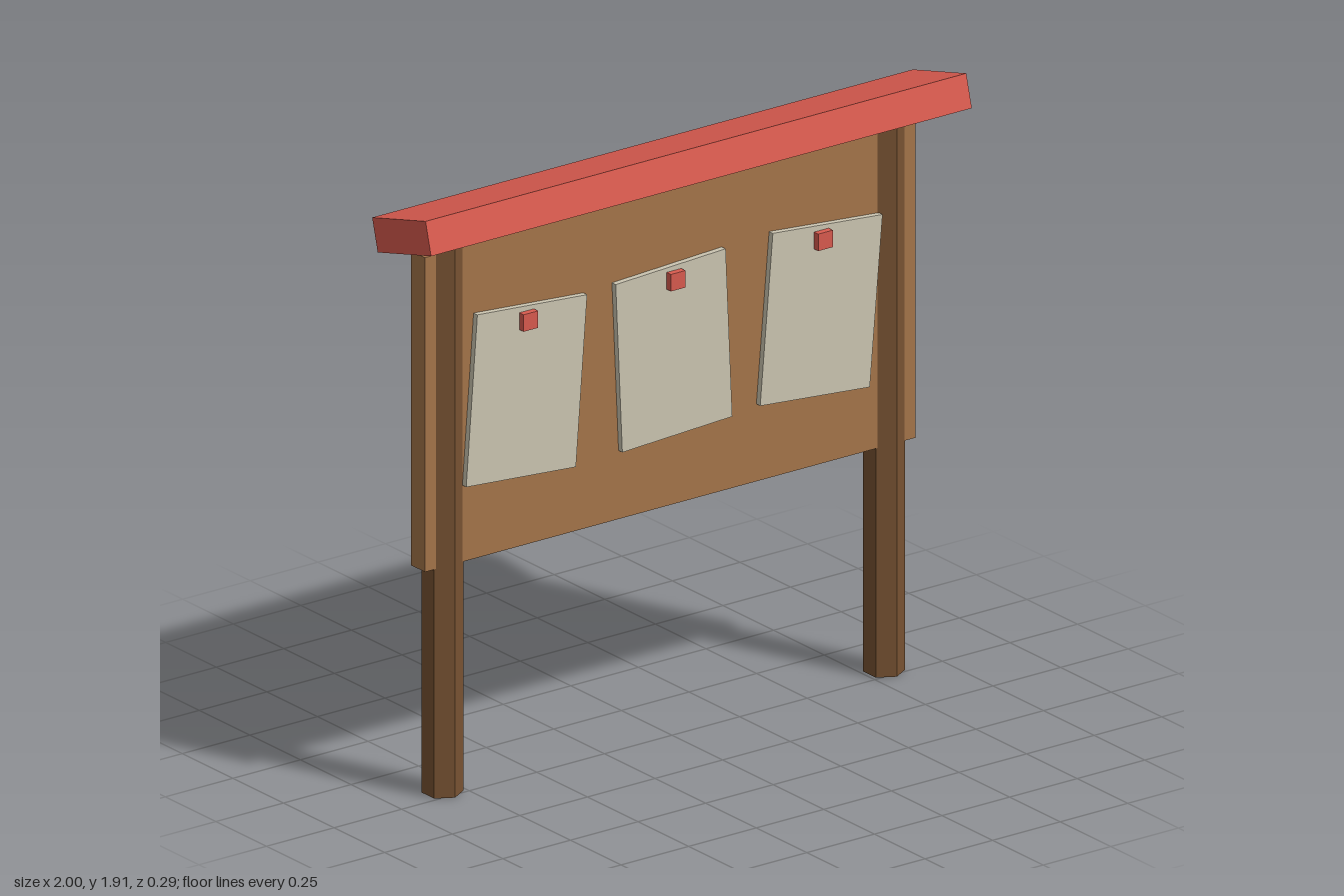
import * as THREE from 'three';

export function createModel() {
  const model = new THREE.Group();
  model.name = 'noticeBoard';

  const material = (name, color) => {
    const m = new THREE.MeshStandardMaterial({ color, flatShading: true });
    m.name = name;
    return m;
  };
  const red = material('red', 0xd95b4f);
  const boardWood = material('boardWood', 0xa5754a);
  const postWood = material('postWood', 0x775232);
  const paper = material('paper', 0xcbc5b1);

  const add = (name, geometry, mat, x, y, z) => {
    const mesh = new THREE.Mesh(geometry, mat);
    mesh.name = name;
    mesh.position.set(x, y, z);
    model.add(mesh);
    return mesh;
  };
  const box = (w, h, d) => new THREE.BoxGeometry(w, h, d);

  // Wooden panel held between the posts
  add('board', box(1.814, 1.0, 0.068), boardWood, 0, 1.23, -0.043);

  // Hexagonal posts, one corner facing forward, tops sunk into the roof
  const postHeight = 1.775;
  for (const [name, side] of [['leftPost', 1], ['rightPost', -1]]) {
    add(name, new THREE.CylinderGeometry(0.0625, 0.0625, postHeight, 6), postWood,
      side * 0.817, postHeight / 2, -0.043);
  }

  // Roof beam, tilted up toward the front
  const roof = add('roof', box(2, 0.106, 0.273), red, 0, 1.821, 0);
  roof.rotation.x = THREE.MathUtils.degToRad(-15);

  // Crooked notices, each with a square pin
  const notices = [[-0.545, -4.4], [0, 2.6], [0.545, -5]];
  notices.forEach(([x, tilt], i) => {
    const sheet = add(`notice${i + 1}`, box(0.407, 0.54, 0.022), paper, x, 1.227, -0.001);
    sheet.rotation.z = THREE.MathUtils.degToRad(tilt);
    add(`pin${i + 1}`, box(0.054, 0.054, 0.027), red, x, 1.455, 0.0175);
  });

  return model;
}
